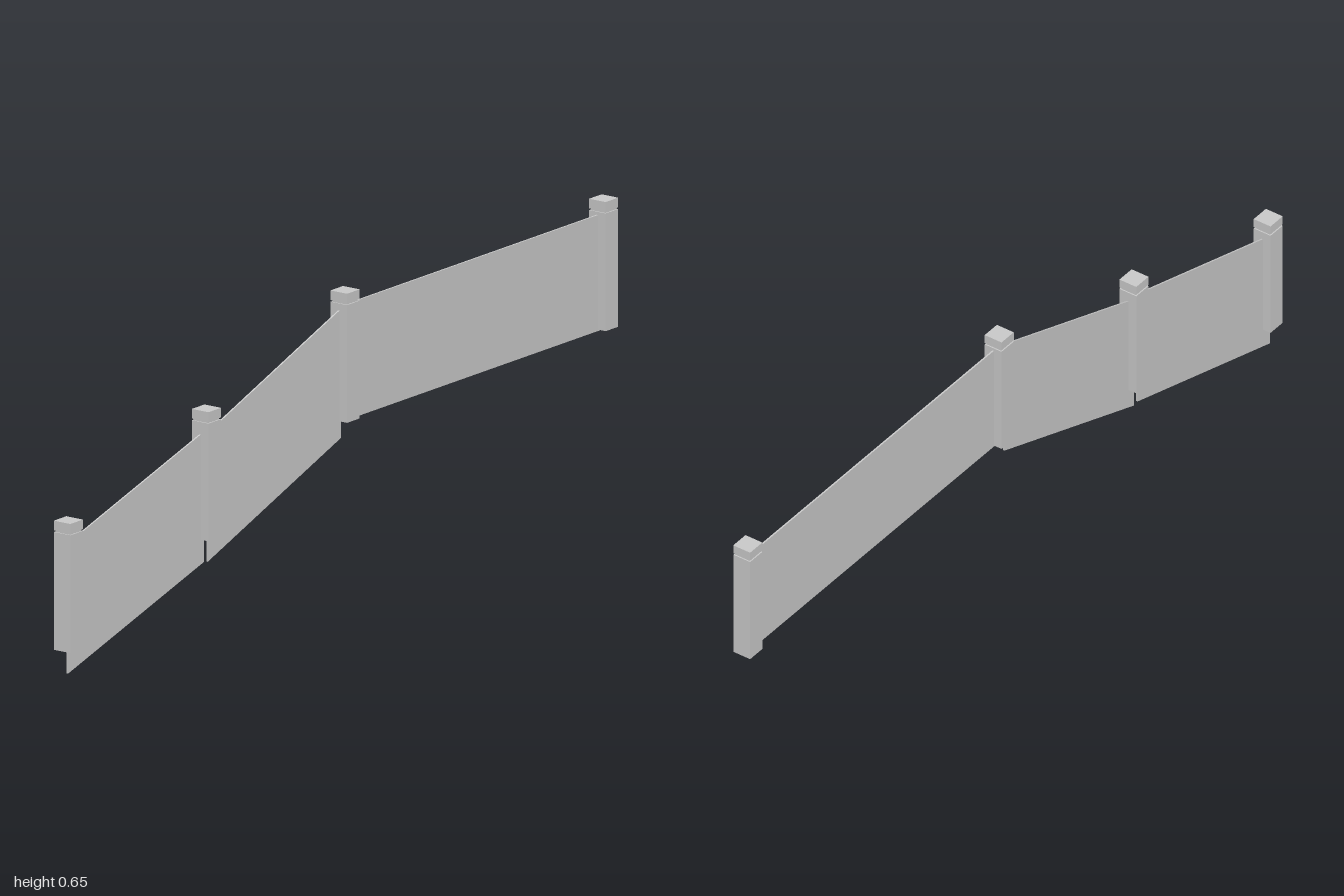
import * as THREE from 'three';

export function createModel() {
  const model = new THREE.Group();
  const material = new THREE.MeshStandardMaterial({ color: 0xcccccc, flatShading: true });
  const postWidth = 0.046;
  const panelThickness = 0.004;

  function addBlock(parent, name, width, y0, y1) {
    const block = new THREE.Mesh(new THREE.BoxGeometry(width, y1 - y0, width), material);
    block.name = name;
    block.position.y = (y0 + y1) / 2;
    parent.add(block);
  }

  // Square posts: shaft, recessed neck and cap
  function addPost(z, y) {
    const post = new THREE.Group();
    post.name = 'post';
    addBlock(post, 'postShaft', postWidth, 0, 0.27);
    addBlock(post, 'postNeck', postWidth - 0.006, 0.27, 0.274);
    addBlock(post, 'postCap', postWidth, 0.274, 0.296);
    post.position.set(0, y, z);
    model.add(post);
  }

  // Thin panel with vertical ends that follows the slope of the ground
  function addPanel(name, z0, z1, bottom0, bottom1, height) {
    const shape = new THREE.Shape([
      new THREE.Vector2(-z0, bottom0),
      new THREE.Vector2(-z1, bottom1),
      new THREE.Vector2(-z1, bottom1 + height),
      new THREE.Vector2(-z0, bottom0 + height),
    ]);
    const geometry = new THREE.ExtrudeGeometry(shape, { depth: panelThickness, bevelEnabled: false });
    geometry.translate(0, 0, -panelThickness / 2);
    geometry.rotateY(Math.PI / 2); // shape x runs towards -z
    const panel = new THREE.Mesh(geometry, material);
    panel.name = name;
    model.add(panel);
  }

  for (const [z, y] of [[0.977, 0.055], [0.473, 0.199], [-0.033, 0.358], [-0.977, 0.358]]) {
    addPost(z, y);
  }

  addPanel('lowerSlopedPanel', 0.981, 0.484, 0, 0.146, 0.298);
  addPanel('upperSlopedPanel', 0.471, -0.016, 0.143, 0.319, 0.295);
  addPanel('levelPanel', -0.035, -0.972, 0.355, 0.355, 0.266);

  return model;
}
